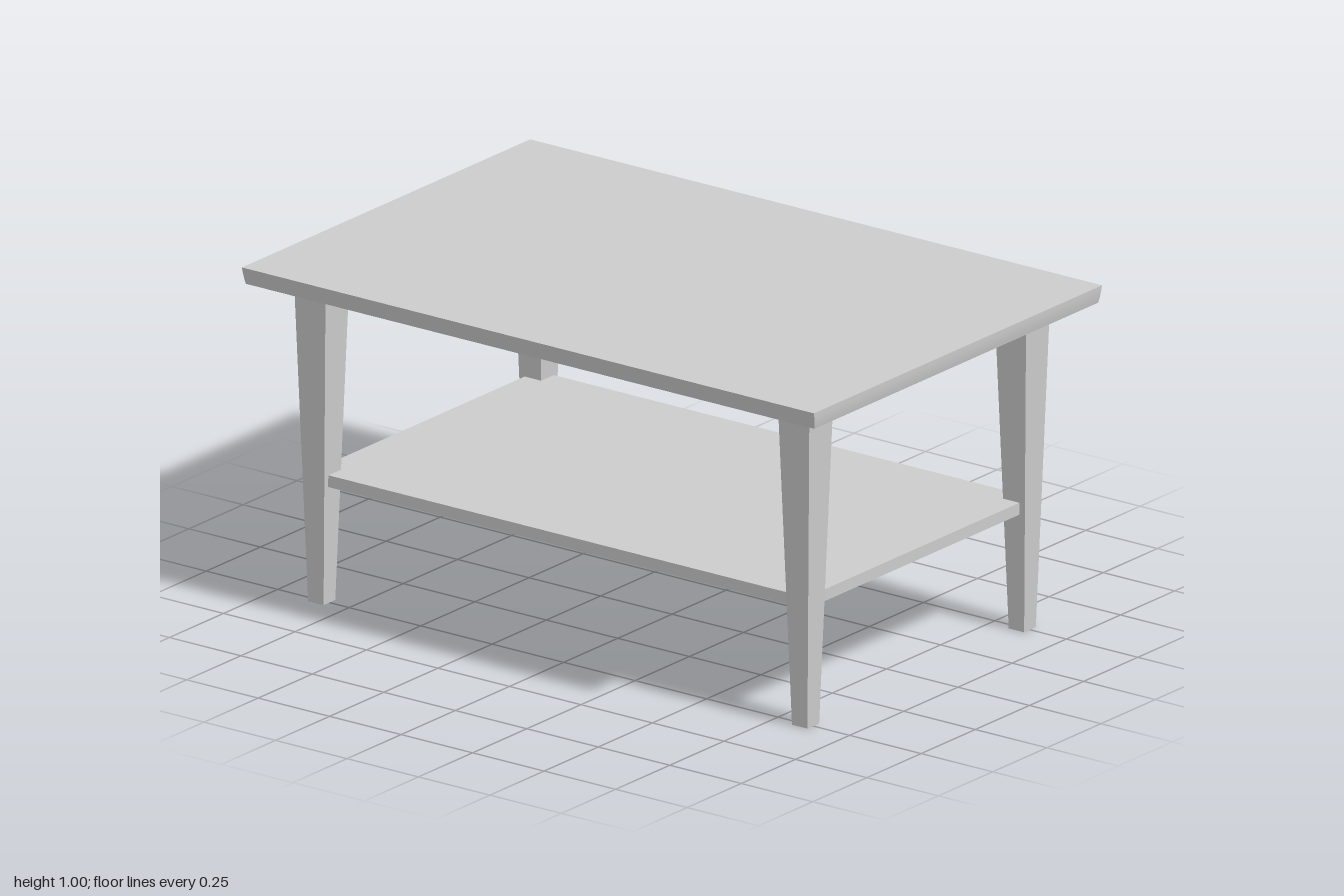
import * as THREE from 'three';

const material = new THREE.MeshStandardMaterial({ color: 0xcccccc });
const legMaterial = new THREE.MeshStandardMaterial({ color: 0xcccccc, side: THREE.DoubleSide });

function addMesh(group, name, geometry, mat, x, y, z) {
  const mesh = new THREE.Mesh(geometry, mat);
  mesh.name = name;
  mesh.position.set(x, y, z);
  group.add(mesh);
}

// Slab whose long sides slant inward and whose ends curve slightly under
function tabletopGeometry() {
  const height = 0.05;
  const geometry = new THREE.BoxGeometry(1.33, height, 2, 1, 4, 1);
  const pos = geometry.attributes.position;
  for (let i = 0; i < pos.count; i++) {
    const drop = 0.5 - pos.getY(i) / height;
    pos.setX(i, pos.getX(i) - Math.sign(pos.getX(i)) * 0.01 * drop);
    pos.setZ(i, pos.getZ(i) - Math.sign(pos.getZ(i)) * 0.006 * drop * drop);
  }
  geometry.computeVertexNormals();
  return geometry;
}

// Square tapered leg, open at both ends
function legGeometry() {
  const topWidth = 0.11, footWidth = 0.054;
  const geometry = new THREE.CylinderGeometry(
    topWidth * Math.SQRT1_2, footWidth * Math.SQRT1_2, 0.95, 4, 1, true
  ).rotateY(Math.PI / 4).toNonIndexed();
  geometry.computeVertexNormals();
  return geometry;
}

export function createModel() {
  const table = new THREE.Group();
  table.name = 'table';

  addMesh(table, 'tabletop', tabletopGeometry(), material, 0, 0.975, 0);

  // Lower shelf, its corners let into the legs
  addMesh(table, 'shelf', new THREE.BoxGeometry(1.04, 0.035, 1.73), material, 0, 0.3675, 0);

  // Four legs
  const leg = legGeometry();
  for (const [zSide, endName] of [[1, 'front'], [-1, 'back']]) {
    for (const [xSide, sideName] of [[1, 'Left'], [-1, 'Right']]) {
      addMesh(table, endName + sideName + 'Leg', leg, legMaterial, xSide * 0.5, 0.475, zSide * 0.846);
    }
  }
  return table;
}
